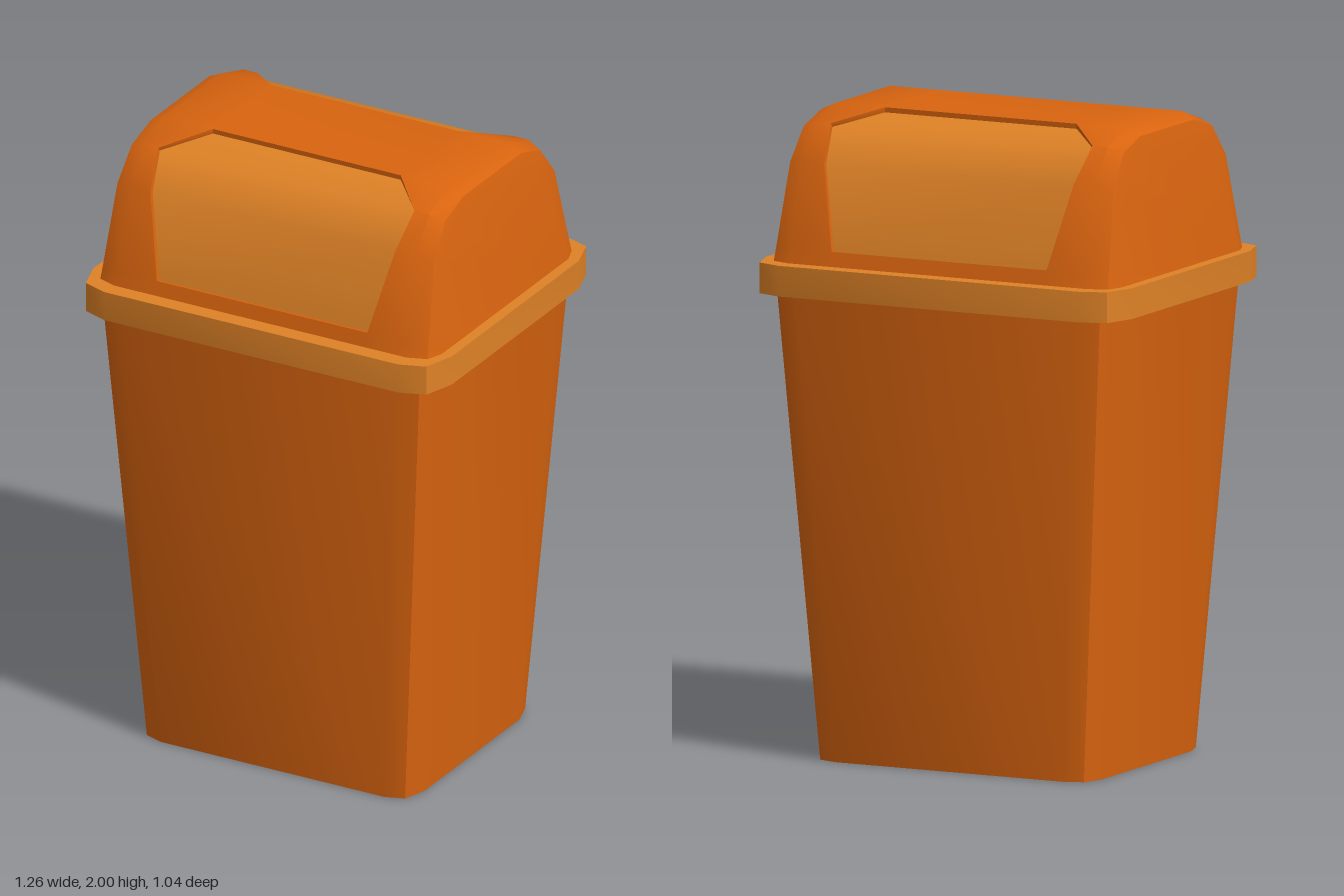
import * as THREE from 'three';
import { toCreasedNormals } from 'three/addons/utils/BufferGeometryUtils.js';

const CREASE = THREE.MathUtils.degToRad(40);
const lerp = THREE.MathUtils.lerp;

// Collects quads and polygons, then makes a geometry that is smooth except at sharp edges
function surface() {
  const pos = [];
  const fan = (pts) => {
    for (let i = 1; i < pts.length - 1; i++) pos.push(...pts[0], ...pts[i], ...pts[i + 1]);
  };
  const build = () => {
    const g = new THREE.BufferGeometry();
    g.setAttribute('position', new THREE.Float32BufferAttribute(pos, 3));
    return toCreasedNormals(g, CREASE);
  };
  return { fan, build };
}

// Rectangle with two-step rounded corners, of half sizes hx and hz, at height y
function planLoop(hx, y, hz) {
  const corner = [[1, 0.75], [0.95, 0.945], [0.82, 1]];
  const back = [...corner].reverse();
  return [
    ...corner,
    ...back.map(([x, z]) => [-x, z]),
    ...corner.map(([x, z]) => [-x, -z]),
    ...back.map(([x, z]) => [x, -z]),
  ].map(([x, z]) => [x * hx, y, z * hz]);
}

// Closed solid through a stack of loops from bottom to top
function loft(loops) {
  const s = surface();
  for (let k = 0; k < loops.length - 1; k++) {
    const a = loops[k], b = loops[k + 1];
    a.forEach((p, i) => {
      const j = (i + 1) % a.length;
      s.fan([p, b[i], b[j], a[j]]);
    });
  }
  s.fan(loops[0]);
  s.fan([...loops[loops.length - 1]].reverse());
  return s.build();
}

// Hood profile, front base to top: z, y, half width of the flap opening
const BASE = 1.545, TOP = 2;
const half = [
  [0.465, BASE, 0.37], [0.454, 1.59, 0.37], [0.39, 1.85, 0.43],
  [0.305, 1.96, 0.45], [0.18, TOP, 0.33],
];
const path = [...half, ...[...half].reverse().map(([z, y, h]) => [-z, y, h])];
const OPENINGS = [[1, 4], [5, 8]];

// Profile point moved inwards by d, placed at x
function insetPoint(i, d, x) {
  const [z, y] = path[i];
  const last = path.length - 1;
  if (i === 0 || i === last) return [x, y, z - Math.sign(z) * d];
  const p = path[i - 1], q = path[i + 1];
  const n = new THREE.Vector2(q[1] - p[1], p[0] - q[0]).normalize();
  return [x, y - n.y * d, z - n.x * d];
}

// Hood ring that leans inwards from half width xb at the base to xt at the top
function ring(side, xb, xt, d) {
  return path.map(([, y], i) => insetPoint(i, d, side * lerp(xb, xt, (y - BASE) / (TOP - BASE))));
}

function hoodGeometry() {
  const s = surface();
  const ends = [[0.595, 0.56, 0.075], [0.575, 0.548, 0.022], [0.515, 0.5, 0]];
  const edge = (side, d) => path.map(([, , h], i) => insetPoint(i, d, side * h));
  const L = edge(-1, 0), R = edge(1, 0), l = edge(-1, 0.016), r = edge(1, 0.016);
  const rings = [
    ...ends.map((e) => ring(-1, ...e)), L, R,
    ...[...ends].reverse().map((e) => ring(1, ...e)),
  ];
  // Shell with two openings
  for (let k = 0; k < rings.length - 1; k++) {
    const a = rings[k], b = rings[k + 1];
    for (let i = 0; i < path.length - 1; i++) {
      const open = OPENINGS.some(([from, to]) => i >= from && i < to);
      if (a === L && open) continue;
      s.fan([a[i], b[i], b[i + 1], a[i + 1]]);
    }
  }
  // End faces
  s.fan(rings[0]);
  s.fan([...rings[rings.length - 1]].reverse());
  // Walls of the flap recesses
  for (const [from, to] of OPENINGS) {
    for (let i = from; i < to; i++) {
      s.fan([L[i], l[i], l[i + 1], L[i + 1]]);
      s.fan([R[i + 1], r[i + 1], r[i], R[i]]);
    }
    s.fan([L[from], R[from], r[from], l[from]]);
    s.fan([l[to], r[to], R[to], L[to]]);
  }
  return s.build();
}

// Curved flap set into an opening
function flapGeometry([from, to]) {
  const s = surface();
  const at = (i, side) => insetPoint(i, 0.016, side * path[i][2]);
  for (let i = from; i < to; i++) s.fan([at(i, -1), at(i, 1), at(i + 1, 1), at(i + 1, -1)]);
  return s.build();
}

export function createModel() {
  const orange = new THREE.MeshStandardMaterial({ name: 'orange plastic', color: 0xd9640f });
  const amber = new THREE.MeshStandardMaterial({ name: 'amber plastic', color: 0xdf8226 });
  const model = new THREE.Group();
  model.name = 'swingLidBin';
  const add = (name, geometry, material) => {
    const mesh = new THREE.Mesh(geometry, material);
    mesh.name = name;
    model.add(mesh);
  };

  add('body', loft([planLoop(0.478, 0, 0.39), planLoop(0.585, 1.46, 0.485)]), orange);
  add('rim', loft([planLoop(0.63, 1.45, 0.52), planLoop(0.63, BASE, 0.52)]), amber);
  add('lidHood', hoodGeometry(), orange);
  add('frontFlap', flapGeometry(OPENINGS[0]), amber);
  add('backFlap', flapGeometry(OPENINGS[1]), amber);
  return model;
}
